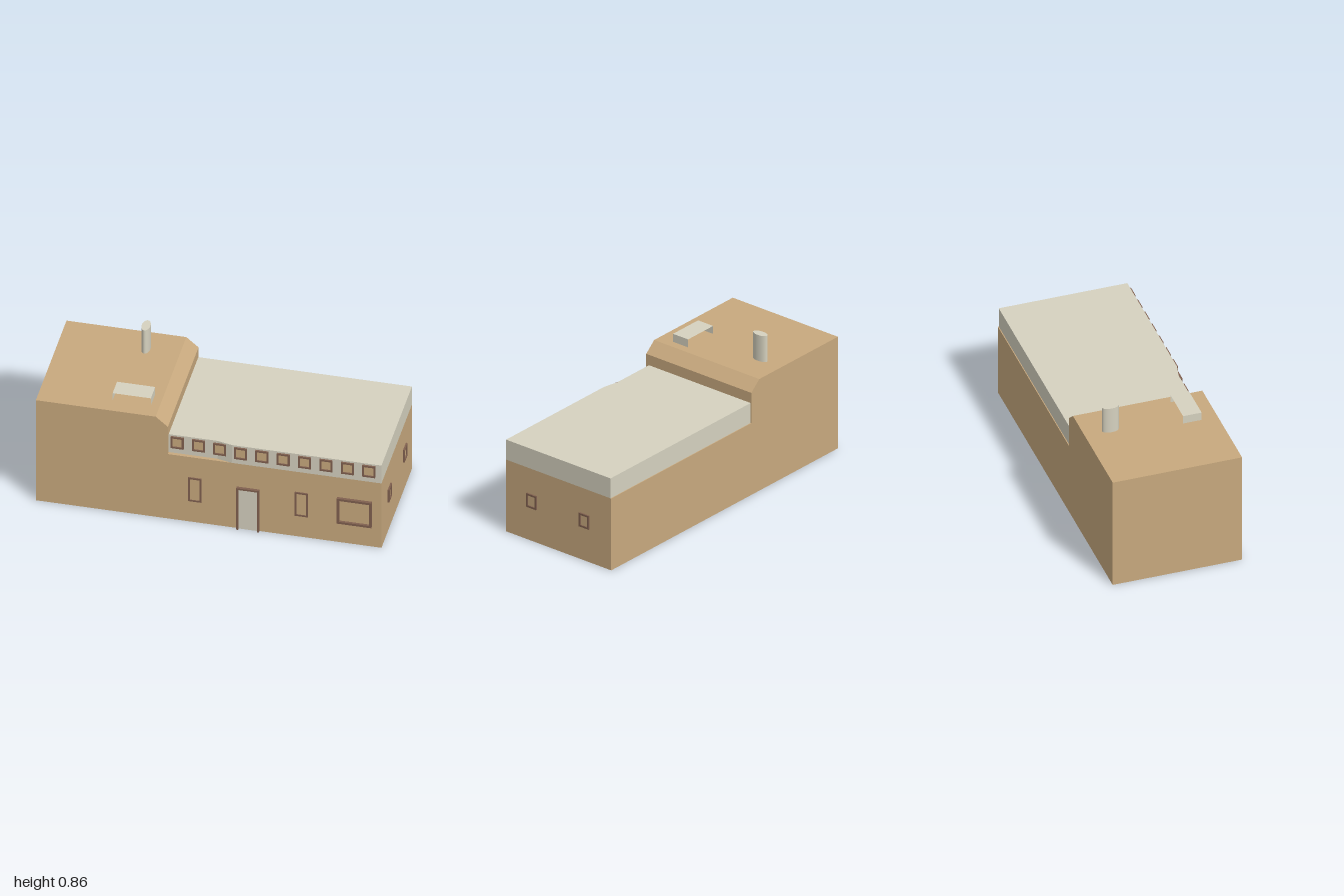
import * as THREE from 'three';

const material = (name, color) => {
  const m = new THREE.MeshStandardMaterial({ color });
  m.name = name;
  return m;
};

export function createModel() {
  const model = new THREE.Group();
  model.name = 'adobeBuilding';
  const adobe = material('adobe tan', 0xc8a97e);
  const plaster = material('plaster grey', 0xd5d1bf);
  plaster.side = THREE.DoubleSide;
  const wood = material('wood brown', 0x80604f);

  const add = (name, geometry, mat, parent = model) => {
    const mesh = new THREE.Mesh(geometry, mat);
    mesh.name = name;
    parent.add(mesh);
    return mesh;
  };
  const outline = (points) => new THREE.Shape(points.map(([x, y]) => new THREE.Vector2(x, y)));
  const extrude = (shape, depth) => new THREE.ExtrudeGeometry(shape, { depth, bevelEnabled: false });

  const FRONT = 0.375, BACK = -0.392, RIGHT = 0.99;

  // Walls: long low wing and taller block with a chamfered shoulder
  const walls = extrude(outline([
    [-1, 0], [RIGHT, 0], [RIGHT, 0.45], [-0.24, 0.45],
    [-0.24, 0.64], [-0.31, 0.7], [-1, 0.7],
  ]), FRONT - BACK);
  walls.translate(0, 0, BACK);
  add('walls', walls, adobe);

  // Upper band and roof, its front stepping back beside the tall block
  const band = extrude(outline([
    [-0.24, -0.355], [0.04, -0.355], [0.13, -FRONT], [RIGHT, -FRONT],
    [RIGHT, 0.387], [-0.24, 0.387],
  ]), 0.125);
  band.rotateX(-Math.PI / 2).translate(0, 0.45, 0);
  add('upperBand', band, plaster);

  // Frame centred on its own origin, its back at z = 0; optional pane inside
  function frame(name, w, h, t, depth, pane, open = false) {
    const group = new THREE.Group();
    group.name = name;
    const x = w / 2, y = h / 2;
    let shape;
    if (open) {
      shape = outline([[-x, -y], [t - x, -y], [t - x, y - t], [x - t, y - t], [x - t, -y], [x, -y], [x, y], [-x, y]]);
    } else {
      shape = outline([[-x, -y], [x, -y], [x, y], [-x, y]]);
      shape.holes.push(outline([[t - x, t - y], [t - x, y - t], [x - t, y - t], [x - t, t - y]]));
    }
    add('frame', extrude(shape, depth), wood, group);
    if (pane) {
      const bottom = open ? -y : t - y;
      const plate = new THREE.BoxGeometry(w - 2 * t, y - t - bottom, 0.003);
      plate.translate(0, (y - t + bottom) / 2, 0.0015);
      add('pane', plate, pane, group);
    }
    model.add(group);
    return group;
  }

  // Row of small windows along the upper band
  for (let i = 0; i < 10; i++) {
    const z = i < 2 ? 0.355 : i === 2 ? 0.361 : FRONT;
    frame('bandWindow', 0.074, 0.078, 0.01, 0.01, adobe)
      .position.set(-0.19 + i * 0.1231, 0.526, z);
  }

  // Front windows and door
  frame('narrowWindow', 0.076, 0.164, 0.01, 0.007, adobe).position.set(-0.084, 0.228, FRONT);
  frame('narrowWindow', 0.076, 0.164, 0.01, 0.007, adobe).position.set(0.53, 0.228, FRONT);
  frame('wideWindow', 0.2, 0.174, 0.014, 0.017, adobe).position.set(0.835, 0.226, FRONT);
  frame('door', 0.13, 0.29, 0.011, 0.017, plaster, true).position.set(0.222, 0.145, FRONT);

  // Windows on the right-hand end wall
  for (const z of [0.186, -0.199]) {
    const side = frame('endWindow', 0.072, 0.085, 0.011, 0.01, adobe);
    side.position.set(RIGHT, 0.25, z);
    side.rotation.y = Math.PI / 2;
  }

  // Oval chimney
  const chimney = new THREE.CylinderGeometry(1, 1, 0.165, 32);
  chimney.scale(0.025, 1, 0.049);
  chimney.translate(-0.506, 0.7795, -0.237);
  add('chimney', chimney, plaster);

  // Roof vent: thin cover with two sides, open at front and back
  const vent = new THREE.Group();
  vent.name = 'roofVent';
  const cover = new THREE.PlaneGeometry(0.22, 0.11);
  cover.rotateX(-Math.PI / 2).translate(-0.47, 0.75, 0.224);
  add('ventTop', cover, plaster, vent);
  for (const s of [-1, 1]) {
    const panel = new THREE.PlaneGeometry(0.11, 0.05);
    panel.rotateY(s * Math.PI / 2).translate(-0.47 + s * 0.11, 0.725, 0.224);
    add('ventSide', panel, plaster, vent);
  }
  model.add(vent);

  return model;
}
